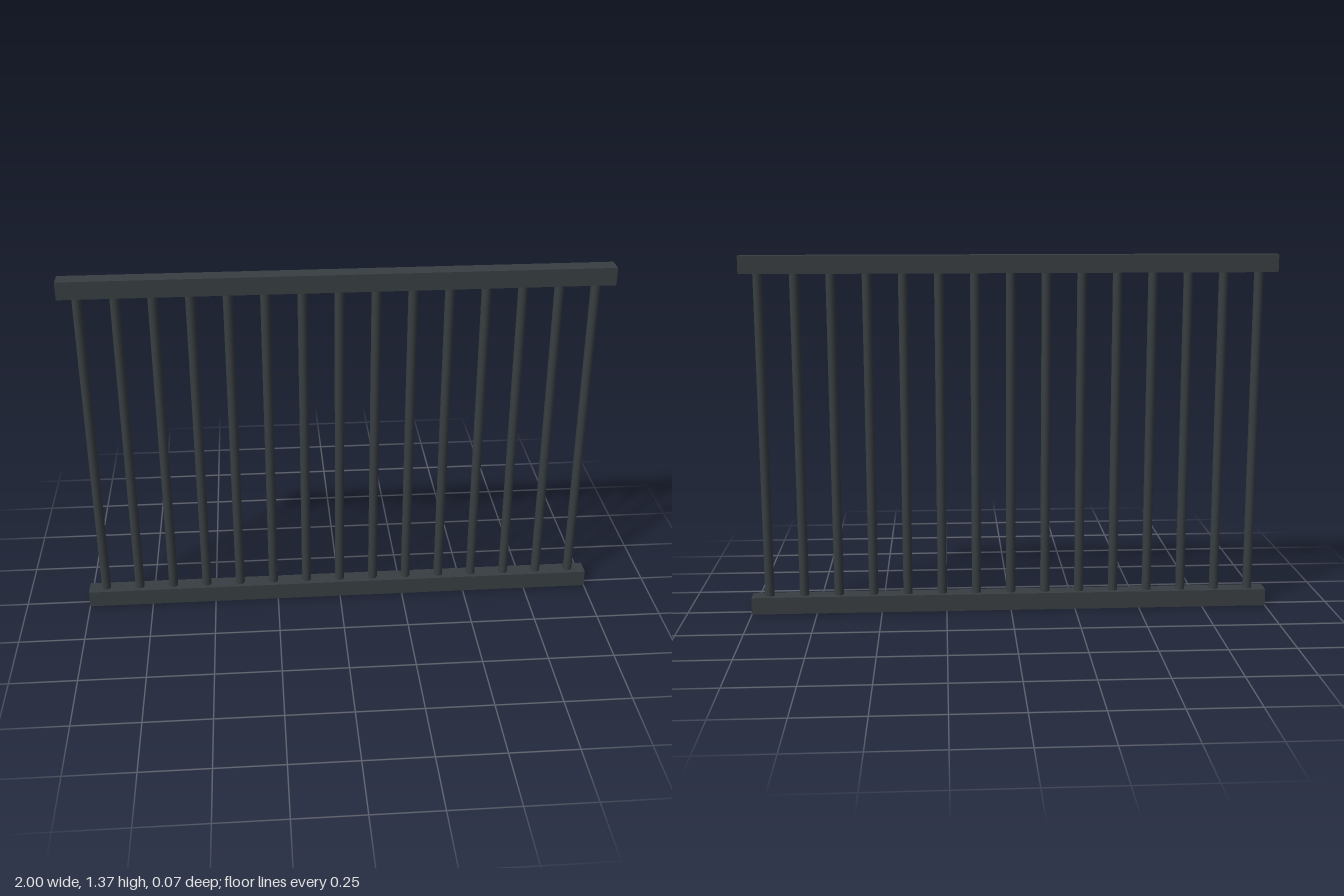
import * as THREE from 'three';

export function createModel() {
  const model = new THREE.Group();
  model.name = 'railingPanel';

  const metal = new THREE.MeshStandardMaterial({ color: 0x383e42 });
  metal.name = 'anthracite metal';

  const height = 1.37, rail = 0.066;

  // Square top and bottom rails
  const railGeometry = new THREE.BoxGeometry(2, rail, rail);
  for (const [name, y] of [['bottomRail', rail / 2], ['topRail', height - rail / 2]]) {
    const mesh = new THREE.Mesh(railGeometry, metal);
    mesh.name = name;
    mesh.position.y = y;
    model.add(mesh);
  }

  // Evenly spaced round balusters between the rails
  const balusters = new THREE.Group();
  balusters.name = 'balusters';
  const count = 15, spacing = 2 / count;
  const barGeometry = new THREE.CylinderGeometry(0.018, 0.018, height - 2 * rail, 12, 1, true);
  for (let i = 0; i < count; i++) {
    const bar = new THREE.Mesh(barGeometry, metal);
    bar.name = `baluster${i + 1}`;
    bar.position.set((i - (count - 1) / 2) * spacing, height / 2, 0);
    balusters.add(bar);
  }
  model.add(balusters);

  return model;
}
